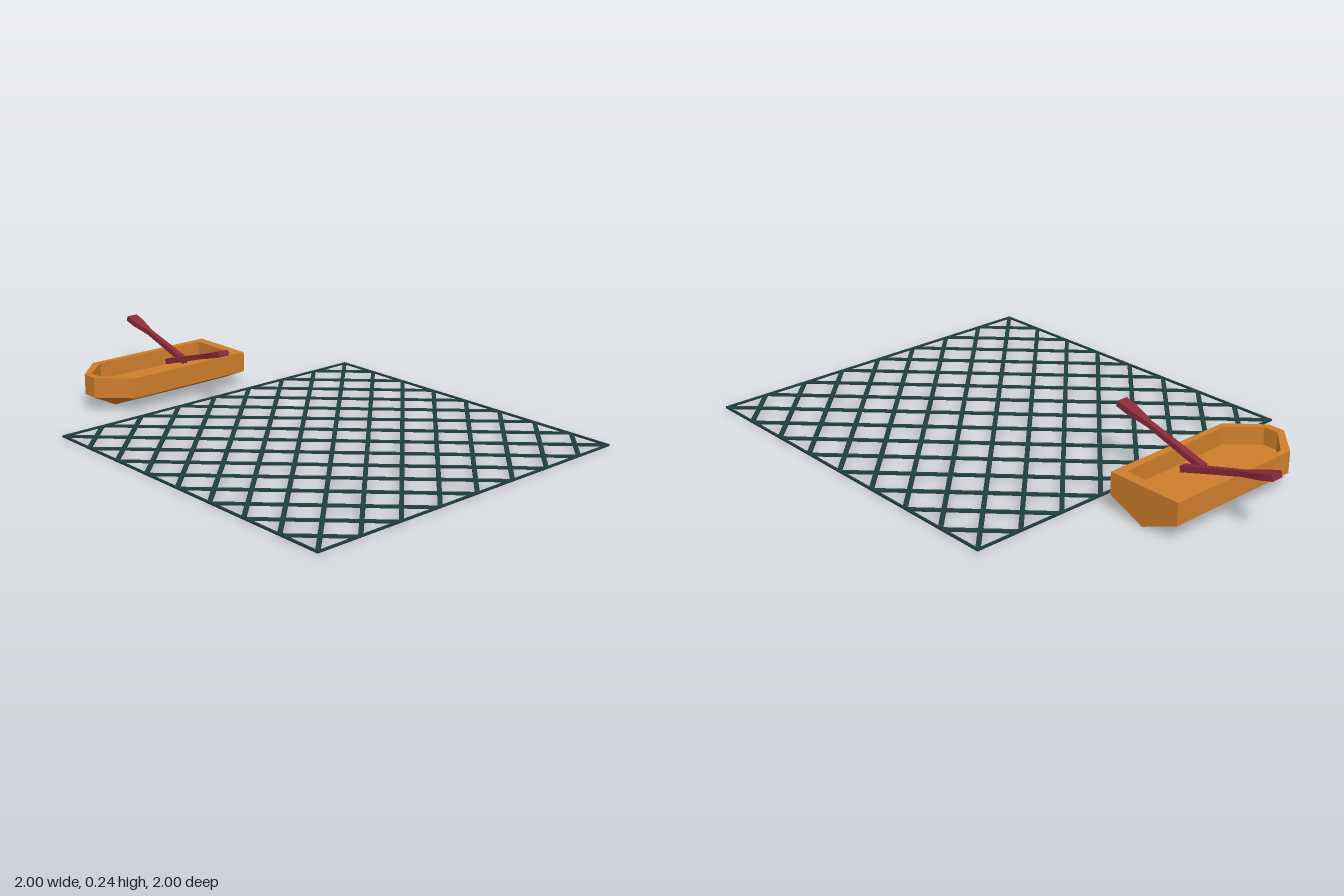
import * as THREE from 'three';

// Flat-faced skin over a stack of loops, each running counterclockwise seen from +y
function loft(loops, { capStart = false, capEnd = false } = {}) {
  const pos = [];
  const tri = (a, b, c) => {
    const area = b.clone().sub(a).cross(c.clone().sub(a)).length();
    if (area > 1e-9) for (const p of [a, b, c]) pos.push(p.x, p.y, p.z);
  };
  for (let k = 0; k + 1 < loops.length; k++) {
    const lo = loops[k], hi = loops[k + 1], n = lo.length;
    for (let i = 0; i < n; i++) {
      const j = (i + 1) % n;
      tri(lo[i], lo[j], hi[j]);
      tri(lo[i], hi[j], hi[i]);
    }
  }
  const first = loops[0], last = loops[loops.length - 1];
  for (let i = 1; i + 1 < first.length; i++) {
    if (capStart) tri(first[0], first[i + 1], first[i]);
    if (capEnd) tri(last[0], last[i], last[i + 1]);
  }
  const g = new THREE.BufferGeometry();
  g.setAttribute('position', new THREE.Float32BufferAttribute(pos, 3));
  g.computeVertexNormals();
  return g;
}

const material = (name, color) => {
  const m = new THREE.MeshStandardMaterial({ color });
  m.name = name;
  return m;
};

function addMesh(parent, name, geometry, mat) {
  const mesh = new THREE.Mesh(geometry, mat);
  mesh.name = name;
  parent.add(mesh);
  return mesh;
}

// Symmetric outline from [halfWidth, z] stations, stern to bow
function outline(stations, y) {
  const left = stations.map(([w, z]) => new THREE.Vector3(-w, y, z));
  const right = stations.map(([w, z]) => new THREE.Vector3(w, y, z)).reverse();
  return [...left, ...right];
}

function createNet(mat) {
  const net = new THREE.Group();
  net.name = 'net';
  const y = 0.012, thick = 0.007, width = 0.016, border = 0.008, step = 0.125;
  // crossing strands, shortened towards the corners
  for (let i = -7; i <= 7; i++) {
    const c = i * step;
    const length = 2 * (1 - Math.abs(c)) - width;
    addMesh(net, 'strandAcross', new THREE.BoxGeometry(length, thick, width), mat).position.set(0, y, c);
    addMesh(net, 'strandAlong', new THREE.BoxGeometry(width, thick, length), mat).position.set(c, y, 0);
  }
  // thin edge cords
  const inset = Math.SQRT1_2 - border / 2;
  for (let k = 0; k < 4; k++) {
    const a = Math.PI / 4 + k * Math.PI / 2;
    const cord = addMesh(net, 'edgeCord', new THREE.BoxGeometry(Math.SQRT2, thick, border), mat);
    cord.position.set(Math.sin(a) * inset, y, Math.cos(a) * inset);
    cord.rotation.y = a;
  }
  return net;
}

function createHull(mat) {
  const outer = [[0.1415, 0], [0.1435, 0.543], [0.032, 0.654]];
  const inner = [[0.111, 0.04], [0.121, 0.522], [0.028, 0.626]];
  const keel = [[0, 0], [0, 0.54], [0, 0.54]];
  // keel, chine, outer rim, inner rim, then down to the floor
  const geometry = loft([
    outline(keel, 0),
    outline(outer, 0.06),
    outline(outer, 0.14),
    outline(inner, 0.14),
    outline(inner, 0.075),
  ], { capEnd: true });
  const hull = new THREE.Mesh(geometry, mat);
  hull.name = 'hull';
  return hull;
}

function createOar(mat, side, handleX, z) {
  // [distance from handle end, half width, half thickness]
  const sections = [
    [0, 0.013, 0.011],
    [0.25, 0.010, 0.009],
    [0.335, 0.022, 0.011],
    [0.385, 0.023, 0.011],
  ];
  const loops = sections.map(([d, w, t]) =>
    [[-t, -w], [-t, w], [t, w], [t, -w]].map(([px, pz]) => new THREE.Vector3(px, d, pz)));
  const oar = new THREE.Mesh(loft(loops, { capStart: true, capEnd: true }), mat);
  oar.name = side > 0 ? 'leftOar' : 'rightOar';
  oar.position.set(handleX, 0.122, z);
  oar.rotation.z = -side * THREE.MathUtils.degToRad(73.4);
  return oar;
}

export function createModel() {
  const wood = material('orangeWood', 0xcf7e2c);
  const oarRed = material('darkRedOar', 0x8a2a3a);
  const rope = material('darkGreenRope', 0x1f3f3d);

  const model = new THREE.Group();
  model.name = 'boatAndNet';
  model.add(createNet(rope));

  // boat lies diagonally beside the net
  const boat = new THREE.Group();
  boat.name = 'rowingBoat';
  boat.add(createHull(wood));
  boat.add(createOar(oarRed, -1, 0.032, 0.217));
  boat.add(createOar(oarRed, 1, -0.013, 0.269));
  boat.position.set(-0.5025, 0, -0.802);
  boat.rotation.y = -Math.PI / 4;
  model.add(boat);
  return model;
}
